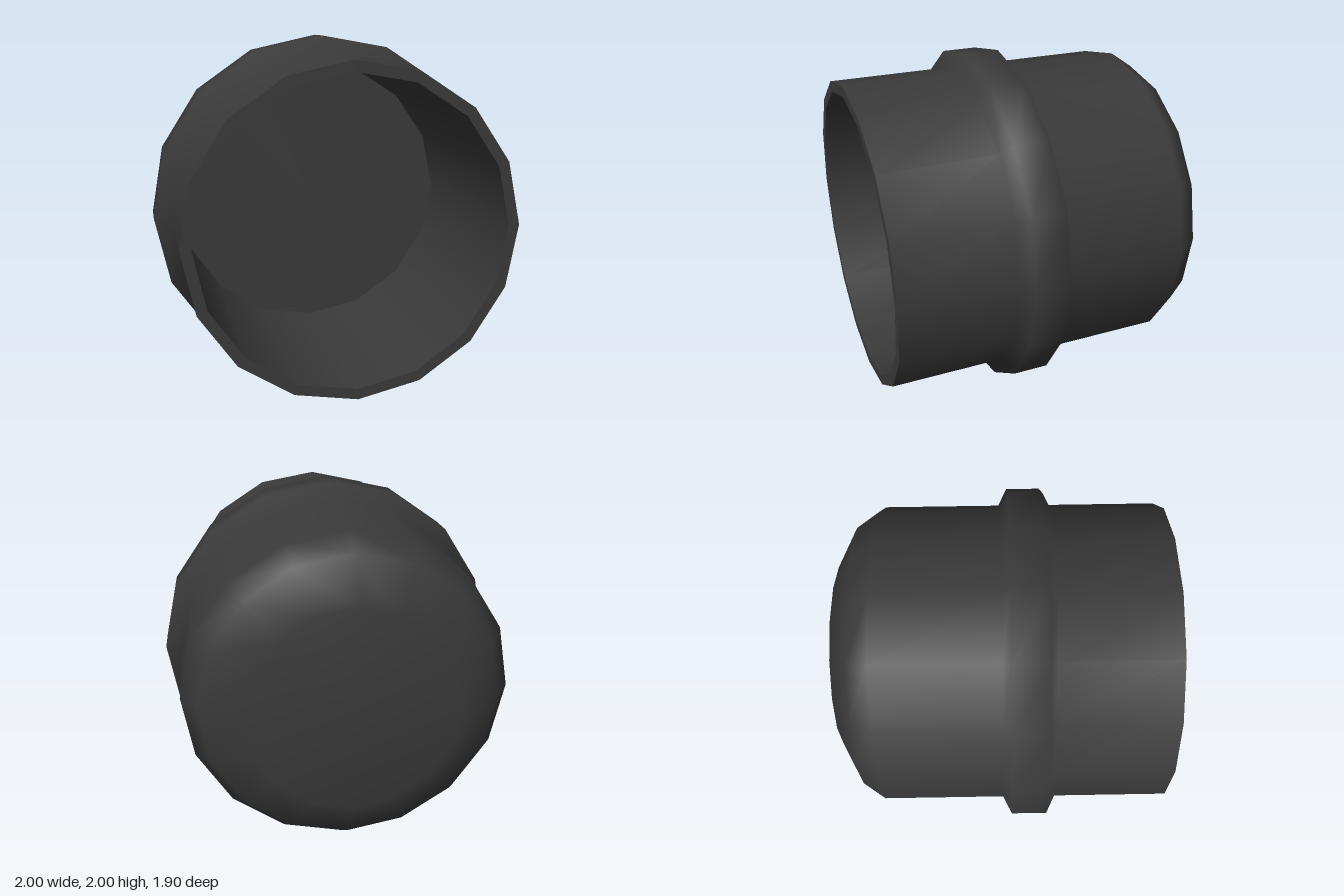
import * as THREE from 'three';

const SIDES = 16;
const TWIST = 0.02; // slight roll of the 16-sided section

export function createModel() {
  const group = new THREE.Group();
  const material = new THREE.MeshStandardMaterial({ color: 0x3a3a3a });

  // Revolve a [radius, z] profile around the z axis; profiles run back to front on the outside
  const revolve = (name, profile) => {
    const points = profile.map(([r, z]) => new THREE.Vector2(r, z));
    const geometry = new THREE.LatheGeometry(points, SIDES, TWIST);
    geometry.rotateX(Math.PI / 2);
    const mesh = new THREE.Mesh(geometry, material);
    mesh.name = name;
    mesh.position.y = 1;
    group.add(mesh);
  };

  // Closed, rounded back end, barrel and raised collar, smooth throughout
  revolve('outerShell', [
    [0, -0.95], [0.57, -0.95], [0.81, -0.82], [0.9, -0.69],
    [0.9, 0], [1, 0.05], [1, 0.25], [0.9, 0.3], [0.9, 0.95],
  ]);

  // Flat lip around the open front
  revolve('frontRim', [[0.9, 0.95], [0.84, 0.95]]);

  // Inside wall and its flat floor
  revolve('cavityWall', [[0.84, 0.95], [0.84, -0.22]]);
  revolve('cavityFloor', [[0.84, -0.22], [0, -0.22]]);

  return group;
}
